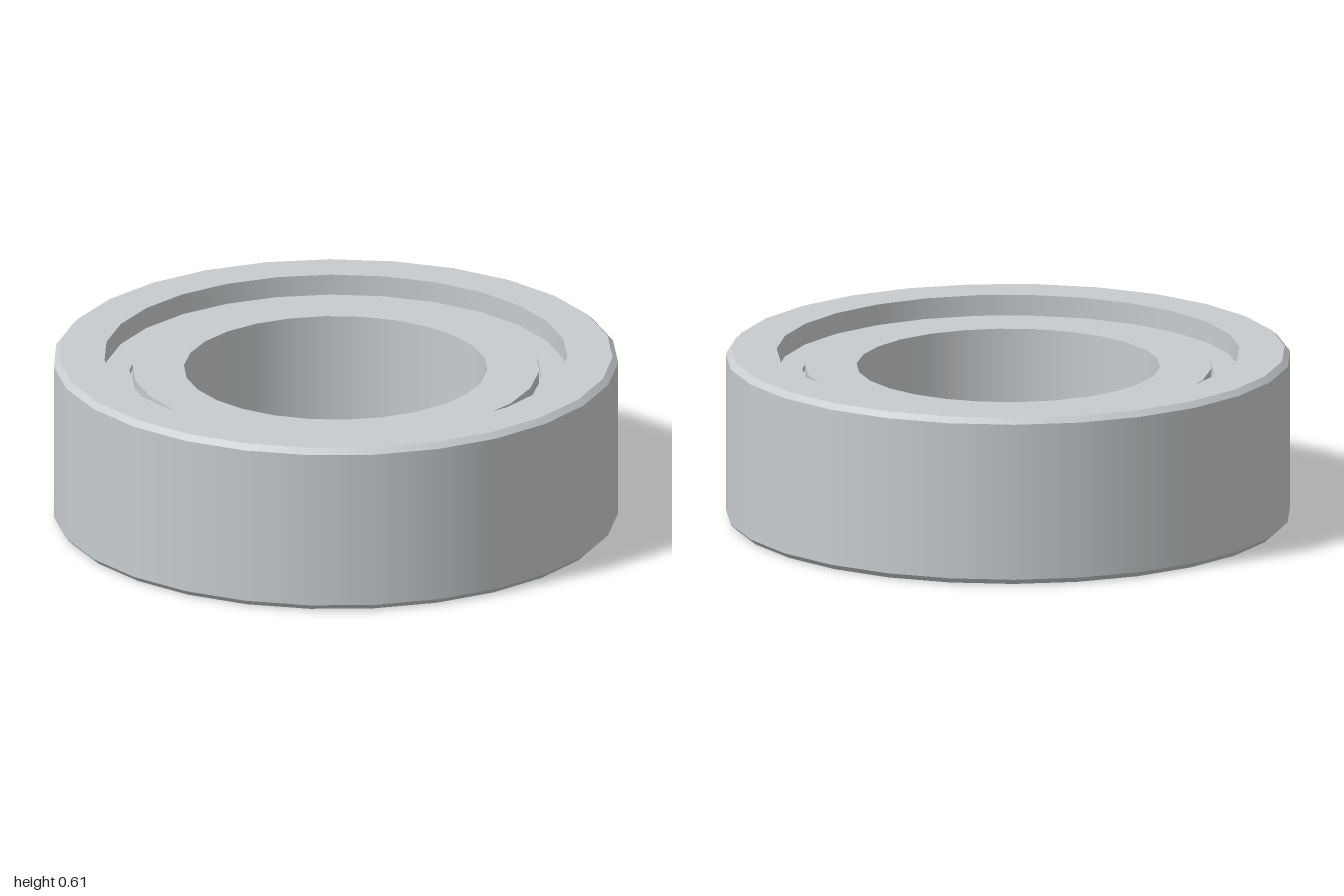
import * as THREE from 'three';
import { mergeGeometries } from 'three/addons/utils/BufferGeometryUtils.js';

const HEIGHT = 0.605;

// Revolves a closed [radius, y] profile (counter-clockwise); each edge is its
// own strip, so walls are smooth around and profile corners stay sharp.
function ring(name, profile, sides, material) {
  const strips = profile.map((p, i) => {
    const q = profile[(i + 1) % profile.length];
    const points = [new THREE.Vector2(...p), new THREE.Vector2(...q)];
    return new THREE.LatheGeometry(points, sides, Math.PI / 2);
  });
  const mesh = new THREE.Mesh(mergeGeometries(strips), material);
  mesh.name = name;
  return mesh;
}

// Profile of a plain square-edged ring
const band = (inner, outer, bottom, top) =>
  [[outer, bottom], [outer, top], [inner, top], [inner, bottom]];

export function createModel() {
  const steel = new THREE.MeshStandardMaterial({ color: 0xc8cccf });
  steel.name = 'steel';
  const group = new THREE.Group();
  group.name = 'bearing';

  // Outer race with chamfered outer edges
  const c = 0.02;
  group.add(ring('outerRace', [
    [1 - c, 0], [1, c], [1, HEIGHT - c], [1 - c, HEIGHT], [0.82, HEIGHT], [0.82, 0],
  ], 27, steel));

  // Inner race, recessed at the top, with a narrower lip at the bottom
  group.add(ring('innerRace', [
    [0.63, 0], [0.63, 0.05], [0.72, 0.05], [0.72, 0.552], [0.537, 0.552], [0.537, 0],
  ], 26, steel));

  // Shields set into both faces
  group.add(ring('topShield', band(0.73, 0.825, 0.51, 0.53), 26, steel));
  group.add(ring('bottomShield', band(0.73, 0.825, 0.075, 0.095), 26, steel));

  // Cage filling the space between the races
  group.add(ring('cage', band(0.71, 0.825, 0.1, 0.505), 26, steel));

  return group;
}
